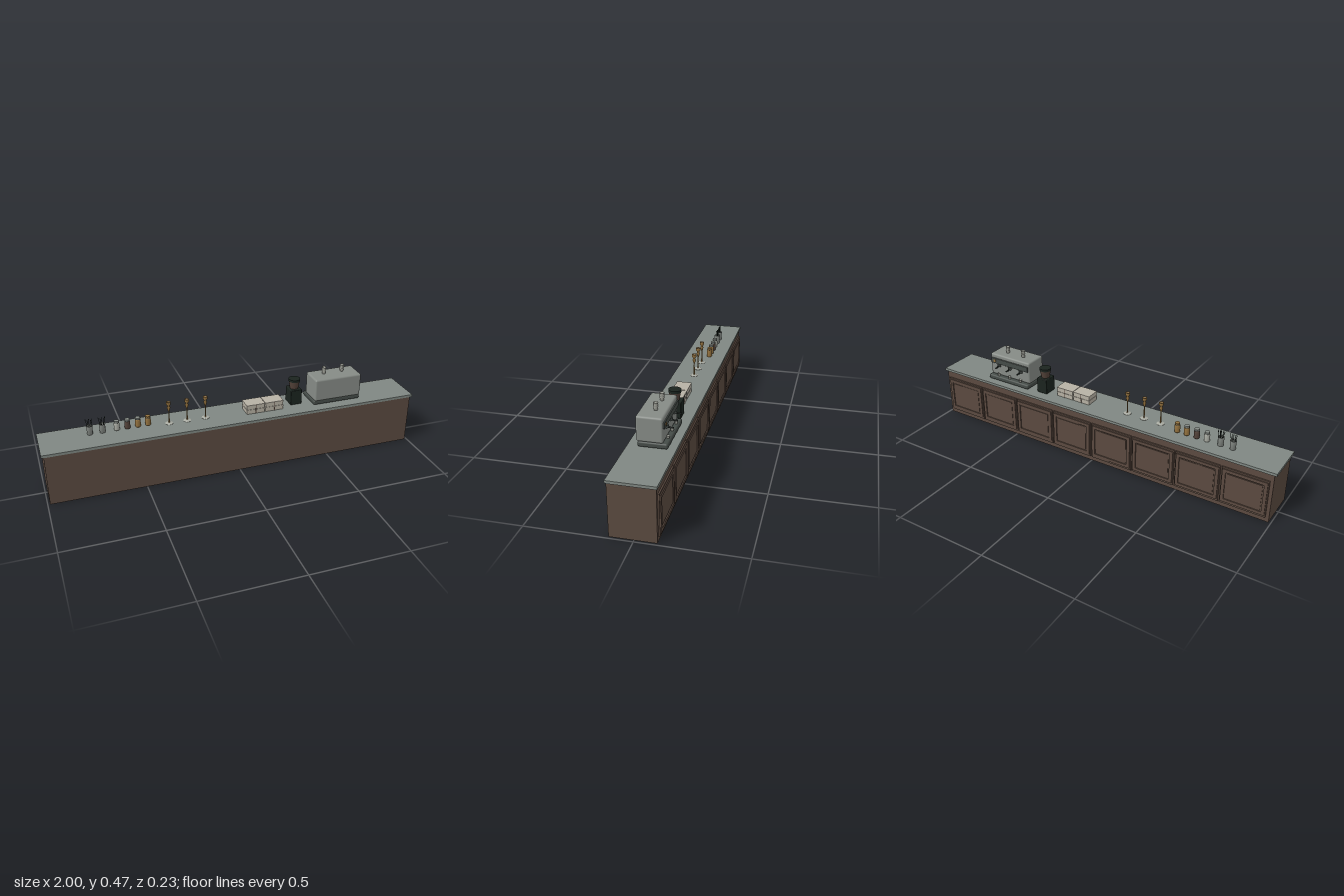
import * as THREE from 'three';
import { RoundedBoxGeometry } from 'three/addons/geometries/RoundedBoxGeometry.js';

const mat = (name, color) => {
  const m = new THREE.MeshStandardMaterial({ color });
  m.name = name;
  return m;
};

export function createModel() {
  const wood = mat('brown wood', 0x5b4a40);
  const stone = mat('grey stone', 0x7f8782);
  const steel = mat('brushed steel', 0x868b86);
  const iron = mat('dark grey metal', 0x454c48);
  const black = mat('green black', 0x1b241f);
  const paper = mat('beige paper', 0xb7b1a4);
  const brass = mat('brass', 0x94723f);
  const beans = mat('dark beans', 0x54433a);
  const china = mat('pale ceramic', 0xaaaca3);
  china.side = beans.side = THREE.DoubleSide;

  const root = new THREE.Group();
  const add = (parent, name, geo, m, x = 0, y = 0, z = 0) => {
    const mesh = new THREE.Mesh(geo, m);
    mesh.name = name;
    mesh.position.set(x, y, z);
    parent.add(mesh);
    return mesh;
  };
  const group = (name, x = 0, y = 0, z = 0) => {
    const g = new THREE.Group();
    g.name = name;
    g.position.set(x, y, z);
    root.add(g);
    return g;
  };
  const box = (w, h, d) => new THREE.BoxGeometry(w, h, d);
  const cyl = (rt, rb, h, n = 20, open = false) => new THREE.CylinderGeometry(rt, rb, h, n, 1, open);
  const lathe = (pts, n = 20) => new THREE.LatheGeometry(pts.map(p => new THREE.Vector2(...p)), n);
  const TOP = 0.282;

  // Counter body and slab
  const counter = group('counter');
  add(counter, 'counterBody', box(1.976, 0.269, 0.215), wood, 0, 0.1345, 0.0055);
  add(counter, 'counterTop', box(2, 0.014, 0.225), stone, 0, 0.275, 0.0035);

  // Back doors: a plate with a raised, hollow frame
  const frameShape = new THREE.Shape();
  const rect = (p, w, h) => {
    p.moveTo(-w / 2, -h / 2); p.lineTo(w / 2, -h / 2);
    p.lineTo(w / 2, h / 2); p.lineTo(-w / 2, h / 2); p.closePath();
    return p;
  };
  rect(frameShape, 0.226, 0.185);
  frameShape.holes.push(rect(new THREE.Path(), 0.192, 0.151));
  const frameGeo = new THREE.ExtrudeGeometry(frameShape, { depth: 0.006, bevelEnabled: false });
  for (let i = 0; i < 8; i++) {
    const x = (i - 3.5) * 0.2437;
    add(counter, 'doorPlate', box(0.236, 0.205, 0.007), wood, x, 0.1275, -0.1055);
    add(counter, 'doorFrame', frameGeo, wood, x, 0.1295, -0.1145);
    add(counter, 'doorPanel', box(0.178, 0.137, 0.003), wood, x, 0.1295, -0.11);
  }

  // Espresso machine, working side towards the back
  const machine = group('espressoMachine', 0.565, 0, 0);
  add(machine, 'machineBody', new RoundedBoxGeometry(0.265, 0.123, 0.125, 3, 0.01), steel, 0, 0.3715, 0.0105);
  add(machine, 'machineBase', new RoundedBoxGeometry(0.27, 0.027, 0.14, 3, 0.009), iron, 0, 0.2985, -0.004);
  for (const x of [-0.11, 0.11]) for (const z of [-0.045, 0.04])
    add(machine, 'machineFoot', cyl(0.01, 0.01, 0.006, 12), black, x, 0.284, z);
  add(machine, 'controlPanel', new RoundedBoxGeometry(0.25, 0.031, 0.01, 2, 0.003), iron, 0, 0.395, -0.0535);
  add(machine, 'gauge', cyl(0.008, 0.008, 0.003, 16), brass, 0.1, 0.395, -0.059).rotation.x = Math.PI / 2;
  const handlePath = new THREE.CatmullRomCurve3([[0.38, -0.048], [0.37, -0.06], [0.366, -0.068], [0.366, -0.085]]
    .map(([y, z]) => new THREE.Vector3(0, y, z)));
  const handleGeo = new THREE.TubeGeometry(handlePath, 10, 0.0038, 8);
  const cupGeo = lathe([[0, 0], [0.006, 0], [0.0085, 0.014], [0.0075, 0.014], [0.005, 0.002], [0, 0.002]], 16);
  for (const x of [-0.074, 0, 0.074]) {
    add(machine, 'brewHandle', handleGeo, black, x);
    add(machine, 'handleEnd', cyl(0.0042, 0.0042, 0.002, 10), black, x, 0.366, -0.085).rotation.x = Math.PI / 2;
    add(machine, 'brewHead', cyl(0.011, 0.011, 0.014, 16), iron, x, 0.372, -0.053);
    add(machine, 'smallCup', cupGeo, china, x, 0.312, -0.06);
  }
  // Stacked cups on the machine
  for (const x of [-0.055, 0.05]) for (let i = 0; i < 3; i++)
    add(machine, 'stackedCup', lathe([[0, 0], [0.0085, 0], [0.0115, 0.019], [0.0105, 0.019], [0.0075, 0.002], [0, 0.002]], 16),
      china, x, 0.433 + i * 0.009, 0.001);

  // Coffee grinder
  const grinder = group('grinder', 0.349, TOP, -0.018);
  add(grinder, 'grinderBody', new RoundedBoxGeometry(0.063, 0.084, 0.074, 2, 0.004), black, 0, 0.042, 0);
  add(grinder, 'hopper', cyl(0.029, 0.022, 0.042, 24), beans, 0, 0.105, 0);
  add(grinder, 'hopperLid', cyl(0.031, 0.031, 0.013, 24), black, 0, 0.1315, 0);

  // Paper boxes, two layers, each tied with a band
  const boxes = group('paperBoxes', 0.163, TOP, 0.005);
  for (const x of [-0.052, 0.052]) for (let j = 0; j < 2; j++) {
    const y = j * 0.0255;
    add(boxes, 'boxTray', box(0.098, 0.017, 0.073), paper, x, y + 0.0085, 0);
    add(boxes, 'boxLid', box(0.101, 0.008, 0.076), paper, x, y + 0.021, 0);
    for (const s of [-1, 1])
      add(boxes, 'boxBand', box(0.003, 0.0245, 0.0006), beans, x, y + 0.0125, s * 0.0382);
  }

  // Brass measures on slender stands
  for (const x of [-0.345, -0.25, -0.152]) {
    const stand = group('measureStand', x, TOP, 0.002);
    add(stand, 'standFoot', lathe([[0, 0], [0.02, 0], [0.02, 0.003], [0.006, 0.006], [0, 0.006]]), china);
    add(stand, 'standStem', cyl(0.0025, 0.0035, 0.074, 10), brass, 0, 0.042, 0);
    add(stand, 'measure', lathe([[0, 0.072], [0.004, 0.072], [0.009, 0.092], [0.005, 0.1],
      [0.0115, 0.11], [0.0115, 0.123], [0.009, 0.123], [0.006, 0.115], [0, 0.115]]), brass);
  }

  // Storage jars
  [[-0.61, china, steel], [-0.556, beans, steel], [-0.502, brass, steel], [-0.45, brass, brass]].forEach(([x, fill, lid]) => {
    const jar = group('jar', x, TOP, -0.02);
    add(jar, 'jarBody', lathe([[0, 0], [0.013, 0], [0.0145, 0.003], [0.0145, 0.036], [0.011, 0.042], [0, 0.042]]), fill);
    add(jar, 'jarLid', cyl(0.0125, 0.0125, 0.01, 20), lid, 0, 0.047, 0);
    add(jar, 'jarRing', new THREE.TorusGeometry(0.0125, 0.0012, 6, 20), iron, 0, 0.043, 0).rotation.x = Math.PI / 2;
  });

  // Holders with stirring sticks
  for (const x of [-0.745, -0.682]) {
    const holder = group('stickHolder', x, TOP, -0.02);
    add(holder, 'holderCup', lathe([[0, 0], [0.014, 0], [0.016, 0.048], [0.0145, 0.048], [0.0125, 0.003], [0, 0.003]]), steel);
    for (let i = 0; i < 5; i++) {
      const t = (i - 2) / 2;
      const stick = add(holder, 'stick', cyl(0.0014, 0.0014, 0.074 - 0.006 * (i % 2), 6), black, t * 0.01, 0.044, (i % 2 - 0.5) * 0.006);
      stick.rotation.z = -t * 0.18;
      add(holder, 'stickTip', new THREE.SphereGeometry(0.0024, 8, 6), black, t * 0.0166, 0.08 - 0.004 * (i % 2), (i % 2 - 0.5) * 0.006);
    }
  }
  return root;
}
